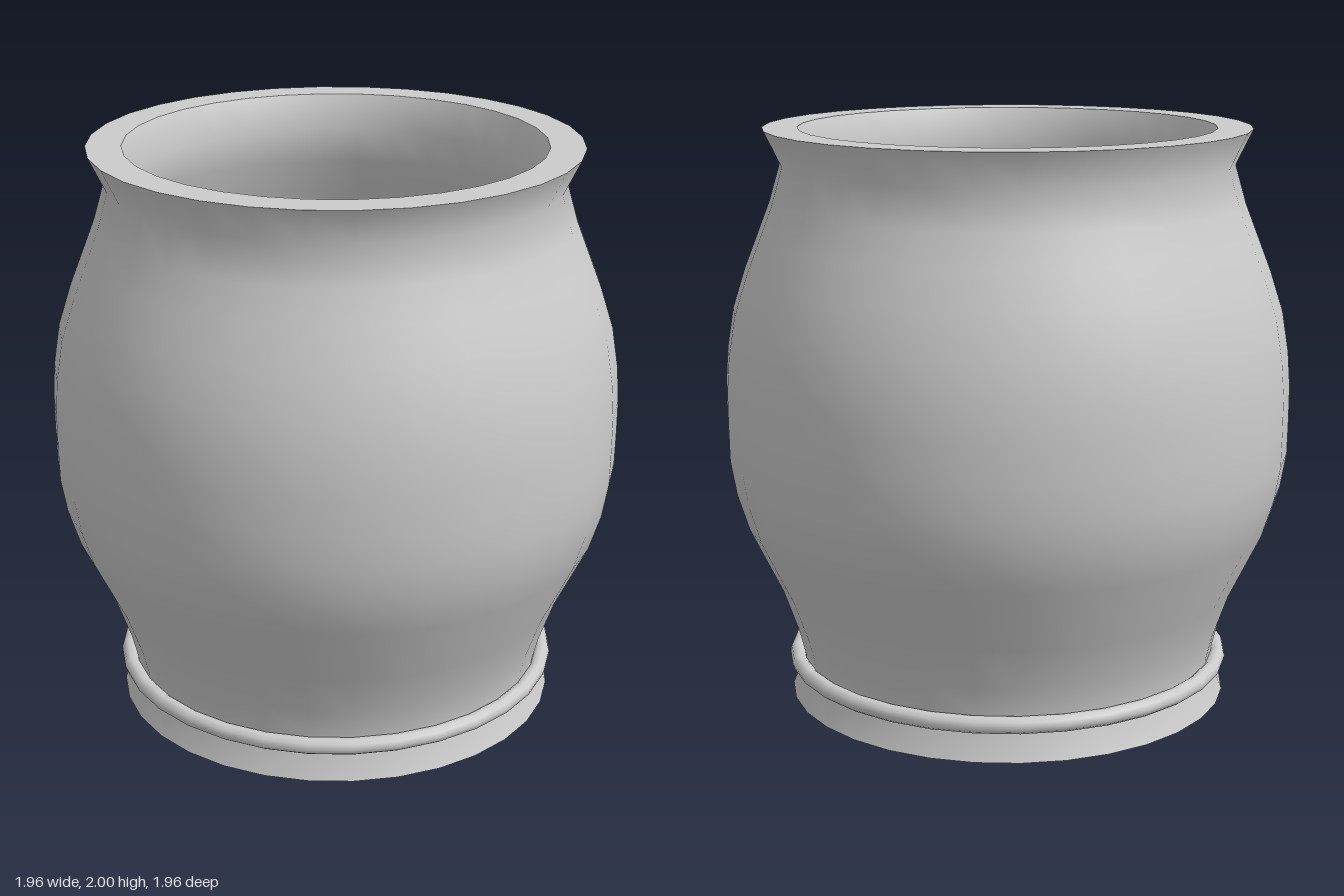
import * as THREE from 'three';

const SIDES = 32;

export function createModel() {
  const group = new THREE.Group();
  const material = new THREE.MeshStandardMaterial({ color: 0xcccccc });

  const add = (name, geometry) => {
    const mesh = new THREE.Mesh(geometry, material);
    mesh.name = name;
    group.add(mesh);
    return mesh;
  };
  // Each turned section is its own lathe, so edges between sections stay sharp
  const turn = (name, points) =>
    add(name, new THREE.LatheGeometry(points.map(([r, y]) => new THREE.Vector2(r, y)), SIDES));

  // Outer wall: flared foot, round belly, narrow neck, flared lip
  turn('outerWall', [
    [0.775, 0], [0.735, 0.1], [0.735, 0.155], [0.758, 0.25], [0.81, 0.4], [0.92, 0.63],
    [0.96, 0.76], [0.98, 0.88], [0.982, 1.0], [0.982, 1.12], [0.973, 1.24], [0.95, 1.38],
    [0.905, 1.52], [0.858, 1.64], [0.815, 1.75], [0.777, 1.88], [0.835, 2],
  ]);

  // Flat lip
  turn('rim', [[0.835, 2], [0.715, 2]]);

  // Hollow inside, following the outer wall
  turn('innerWall', [
    [0.715, 2], [0.665, 1.88], [0.70, 1.75], [0.745, 1.63], [0.79, 1.51], [0.835, 1.37],
    [0.86, 1.23], [0.868, 1.0], [0.865, 0.88], [0.845, 0.77], [0.805, 0.65], [0.70, 0.42],
    [0.65, 0.27], [0.625, 0.155],
  ]);

  // Inside floor and underside
  turn('floor', [[0.625, 0.155], [0, 0.155]]);
  turn('base', [[0, 0], [0.775, 0]]);

  // Bead around the foot
  const bead = add('footRing', new THREE.TorusGeometry(0.755, 0.029, 10, SIDES));
  bead.rotation.x = Math.PI / 2;
  bead.position.y = 0.125;

  return group;
}
